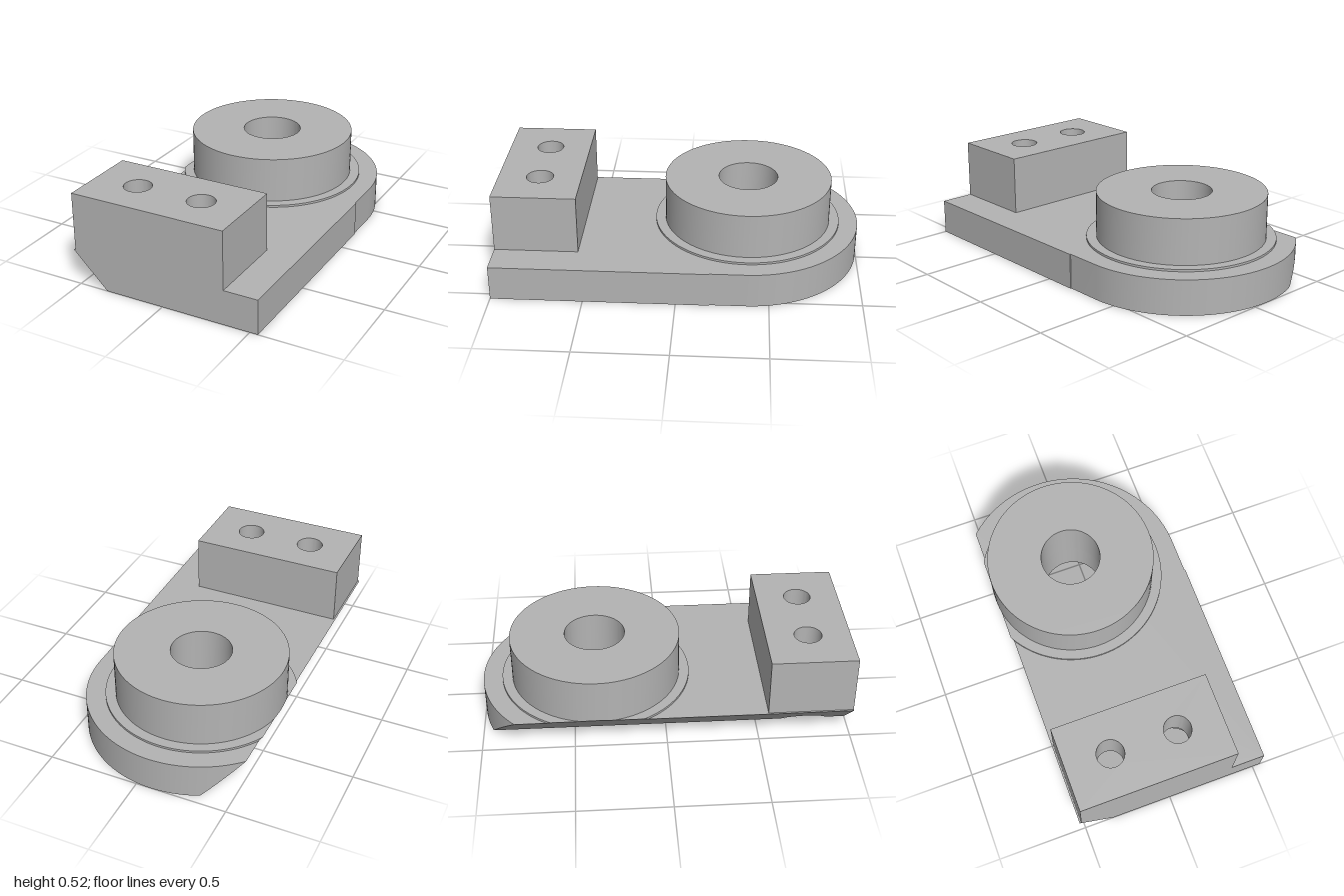
import * as THREE from 'three';
import { mergeGeometries, toCreasedNormals } from 'three/addons/utils/BufferGeometryUtils.js';

// Outlines are counter-clockwise [x, s] points seen from above, where s = -z.
const CUT = -0.335;                       // x where the 45 degree chamfer meets the ground
const CENTRE = [-0.085, 0.375];           // axis of the boss
const BOLTS = [[-0.27, -0.77], [0.105, -0.77]];

const circle = ([cx, cs], r, n = 72) => Array.from({ length: n }, (_, i) => {
  const a = (i / n) * Math.PI * 2;
  return [cx + r * Math.cos(a), cs + r * Math.sin(a)];
});

// add points where an outline crosses x = k
function splitAt(points, k) {
  const out = [];
  points.forEach((p, i) => {
    const q = points[(i + 1) % points.length];
    out.push(p);
    if ((p[0] - k) * (q[0] - k) < -1e-10) {
      const t = (k - p[0]) / (q[0] - p[0]);
      out.push([k, p[1] + t * (q[1] - p[1])]);
    }
  });
  return out;
}

// keep the part of an outline on one side of x = k
const clip = (points, k, side) => splitAt(points, k).filter((p) => (p[0] - k) * side >= -1e-6);

// flat or sloped face over an outline with holes; height follows a rule of x
function face(outline, holes, height, down) {
  const toShape = (pts, Type) => new Type(pts.map((p) => new THREE.Vector2(p[0], p[1])));
  const shape = toShape(outline, THREE.Shape);
  shape.holes = holes.map((h) => toShape(h, THREE.Path));
  const g = new THREE.ShapeGeometry(shape).toNonIndexed();
  const p = g.attributes.position;
  const pos = [];
  for (let i = 0; i < p.count; i += 3) {
    for (const j of down ? [i, i + 2, i + 1] : [i, i + 1, i + 2]) {
      pos.push(p.getX(j), height(p.getX(j)), -p.getY(j));
    }
  }
  return fromPositions(pos);
}

function fromPositions(pos) {
  const g = new THREE.BufferGeometry();
  g.setAttribute('position', new THREE.Float32BufferAttribute(pos, 3));
  return g;
}

// upright wall along a closed outline
function wall(outline, low, high) {
  const pos = [];
  outline.forEach((a, i) => {
    const b = outline[(i + 1) % outline.length];
    const a0 = [a[0], low(a[0]), -a[1]], b0 = [b[0], low(b[0]), -b[1]];
    const a1 = [a[0], high, -a[1]], b1 = [b[0], high, -b[1]];
    pos.push(...a0, ...b0, ...b1, ...a0, ...b1, ...a1);
  });
  return fromPositions(pos);
}

// upright prism with holes, its underside trimmed by the chamfer plane
function prism(outline, holes, y0, y1) {
  const k = CUT - y0;
  const low = (x) => Math.max(y0, CUT - x);
  const body = splitAt(clip(outline, CUT - y1, 1), k);
  const bores = holes.map((h) => splitAt(h, k));
  const parts = [
    face(body, holes, () => y1, false),
    wall(body, low, y1),
    ...bores.map((h) => wall([...h].reverse(), low, y1)),
  ];
  // underside: flat piece and chamfer piece
  for (const side of [1, -1]) {
    const piece = clip(body, k, side);
    if (piece.length < 3 || !piece.some((p) => (p[0] - k) * side > 1e-5)) continue;
    const cuts = holes.map((h) => clip(h, k + side * 0.0004, side)).filter((h) => h.length > 2);
    parts.push(face(piece, cuts, low, true));
  }
  return toCreasedNormals(mergeGeometries(parts), 0.5);
}

export function createModel() {
  const group = new THREE.Group();
  const grey = new THREE.MeshStandardMaterial({ color: 0xb3b3b3 });
  grey.name = 'grey metal';
  const add = (name, geometry) => {
    const mesh = new THREE.Mesh(geometry, grey);
    mesh.name = name;
    group.add(mesh);
  };

  // base plate with rounded back end and chamfered right side
  const arc = Array.from({ length: 73 }, (_, i) => {
    const a = (i / 72) * Math.PI;
    return [CENTRE[0] + 0.625 * Math.cos(a), CENTRE[1] + 0.625 * Math.sin(a)];
  });
  const plate = [[-0.71, -1], [0.545, -1], [0.545, 0.18], [0.54, 0.18], ...arc];
  const bore = circle(CENTRE, 0.165);
  const counterbores = BOLTS.map((b) => circle(b, 0.142, 48));
  const boltHoles = BOLTS.map((b) => circle(b, 0.075, 48));
  add('basePlate', prism(plate, [bore, ...counterbores], 0, 0.195));

  // thin shoulder and boss around the main bore
  add('shoulder', prism(circle(CENTRE, 0.52, 96), [bore], 0.195, 0.207));
  add('boss', prism(circle(CENTRE, 0.465, 96), [bore], 0.207, 0.46));

  // mounting block: wide counterbores below, narrow bolt holes above
  const block = [[-0.52, -1], [0.355, -1], [0.355, -0.54], [-0.52, -0.54]];
  add('blockLower', prism(block, counterbores, 0.195, 0.27));
  add('blockUpper', prism(block, boltHoles, 0.27, 0.52));
  return group;
}
